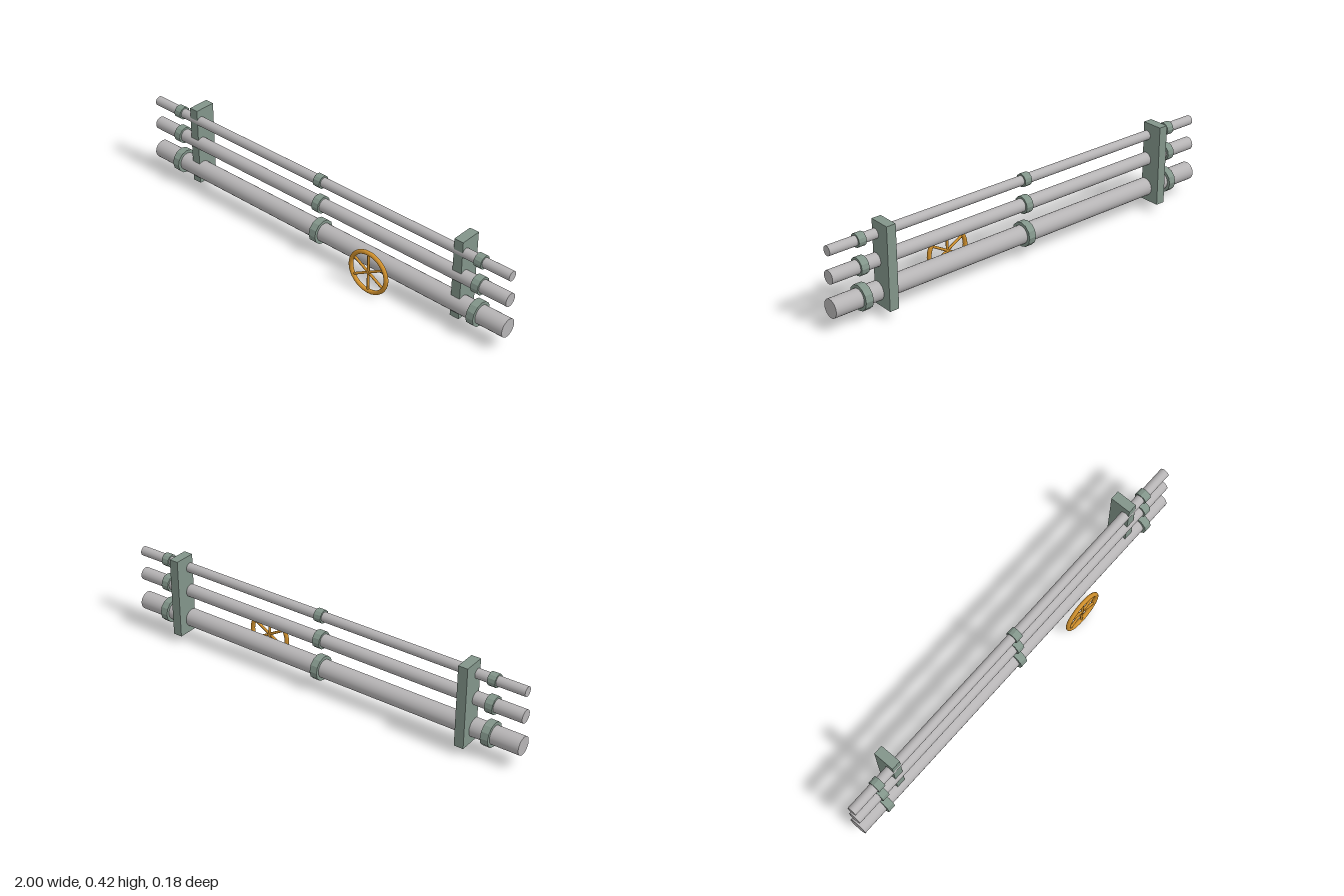
import * as THREE from 'three';

export function createModel() {
  const model = new THREE.Group();
  model.name = 'pipeRack';

  const material = (name, color) => {
    const m = new THREE.MeshStandardMaterial({ color });
    m.name = name;
    return m;
  };
  const steel = material('pale steel', 0xb6b4b5);
  const green = material('grey green', 0x82958a);
  const ochre = material('ochre', 0xd0902c);
  const collarGreen = green.clone();
  collarGreen.flatShading = true;

  const add = (parent, name, geometry, mat, x, y, z) => {
    const mesh = new THREE.Mesh(geometry, mat);
    mesh.name = name;
    mesh.position.set(x, y, z);
    parent.add(mesh);
    return mesh;
  };

  // Cylinder lying along x
  const rod = (radius, length, sides) =>
    new THREE.CylinderGeometry(radius, radius, length, sides).rotateZ(Math.PI / 2);

  // Three pipes, each with three faceted collars
  const pipeZ = -0.01;
  const pipes = [
    { name: 'lowerPipe', y: 0.107, radius: 0.042, collar: 0.057 },
    { name: 'middlePipe', y: 0.247, radius: 0.03, collar: 0.04 },
    { name: 'upperPipe', y: 0.363, radius: 0.022, collar: 0.03 },
  ];
  for (const p of pipes) {
    add(model, p.name, rod(p.radius, 2, 24), steel, 0, p.y, pipeZ);
    for (const x of [-0.85, 0, 0.85]) {
      // Faceted through split faces so the sides stay flat
      const ring = rod(p.collar, 0.036, 12).toNonIndexed();
      ring.computeVertexNormals();
      add(model, p.name + 'Collar', ring, green, x, p.y, pipeZ);
    }
  }

  // Wall brackets behind the pipes
  for (const side of [-1, 1]) {
    add(model, side > 0 ? 'leftBracket' : 'rightBracket',
      new THREE.BoxGeometry(0.044, 0.38, 0.1), green, side * 0.75, 0.232, -0.04);
  }

  // Valve handwheel: rim and three full-width spokes
  const wheel = new THREE.Group();
  wheel.name = 'valveWheel';
  wheel.position.set(0.35, 0.107, 0.08);
  model.add(wheel);
  add(wheel, 'wheelRim', new THREE.TorusGeometry(0.096, 0.01, 10, 32), ochre, 0, 0, 0);
  for (let i = 0; i < 3; i++) {
    const spoke = add(wheel, 'wheelSpoke',
      new THREE.CylinderGeometry(0.006, 0.006, 0.192, 8), ochre, 0, 0, 0);
    spoke.rotation.z = i * Math.PI / 3;
  }

  return model;
}
